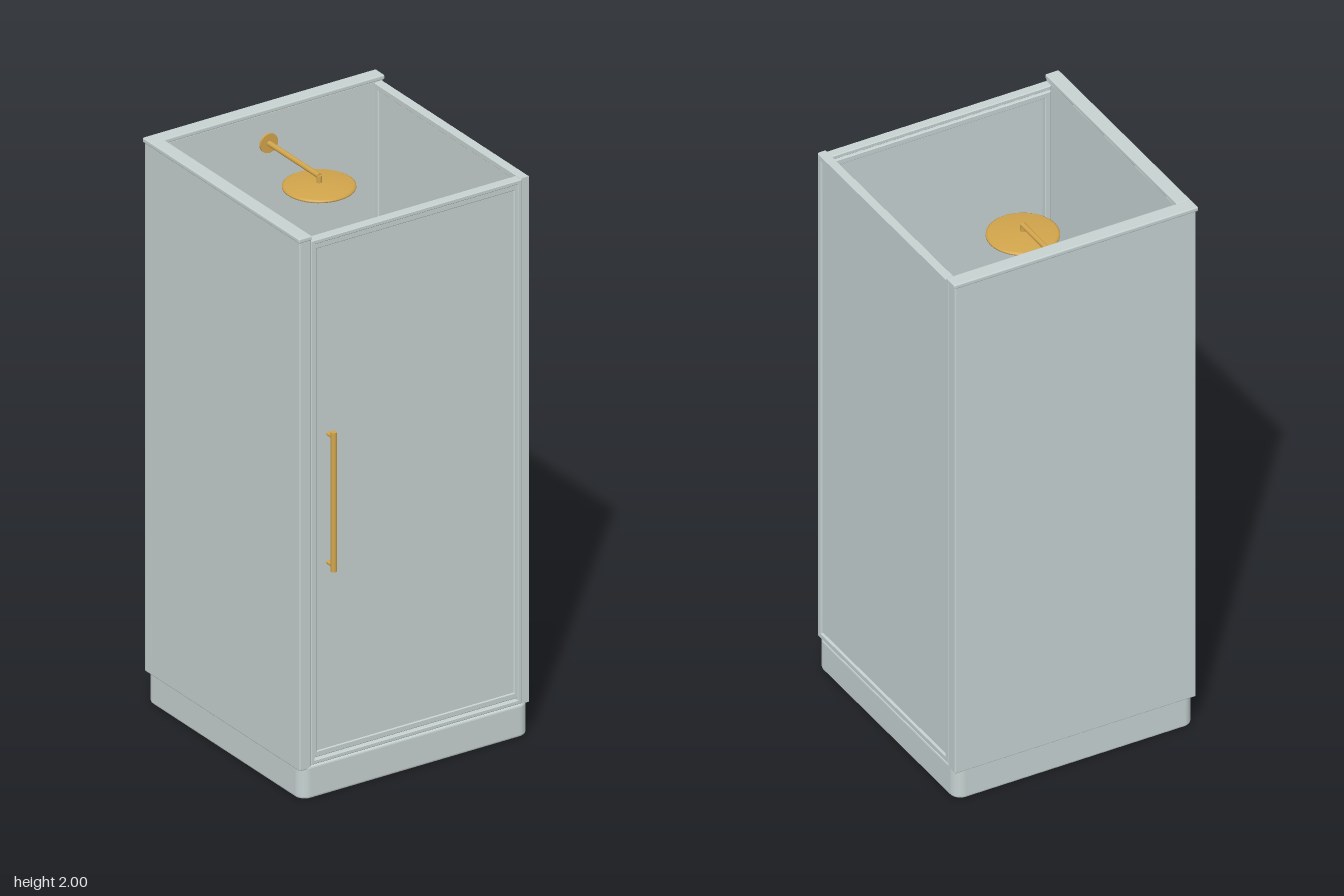
import * as THREE from 'three';
import { RoundedBoxGeometry } from 'three/addons/geometries/RoundedBoxGeometry.js';

export function createModel() {
  const root = new THREE.Group();
  root.name = 'showerCabin';
  const grey = new THREE.MeshStandardMaterial({ name: 'paleGrey', color: 0xc6d2d1 });
  const brass = new THREE.MeshStandardMaterial({ name: 'brass', color: 0xd2a54c });

  const add = (name, geo, mat, x = 0, y = 0, z = 0, parent = root) => {
    const m = new THREE.Mesh(geo, mat);
    m.name = name;
    m.position.set(x, y, z);
    parent.add(m);
    return m;
  };
  // Box given by its two extreme corners
  const box = (name, [x0, y0, z0], [x1, y1, z1], r = 0.005) =>
    add(name, new RoundedBoxGeometry(x1 - x0, y1 - y0, z1 - z0, 2, r), grey,
      (x0 + x1) / 2, (y0 + y1) / 2, (z0 + z1) / 2);
  // Straight rod between two points
  const rod = (name, a, b, r, mat = brass, parent = root) => {
    const p = new THREE.Vector3(...a), d = new THREE.Vector3(...b).sub(p);
    const m = add(name, new THREE.CylinderGeometry(r, r, d.length(), 20), mat, 0, 0, 0, parent);
    m.position.copy(p).addScaledVector(d, 0.5);
    m.quaternion.setFromUnitVectors(new THREE.Vector3(0, 1, 0), d.normalize());
    return m;
  };
  const tube = (name, pts, r, parent = root) => add(name, new THREE.TubeGeometry(
    new THREE.CatmullRomCurve3(pts.map(p => new THREE.Vector3(...p))), 40, r, 12), brass, 0, 0, 0, parent);
  const lathe = (pts) => new THREE.LatheGeometry(pts.map(p => new THREE.Vector2(...p)), 40);
  // Rectangular frame in the xy plane with an open middle
  const frame = (x0, y0, x1, y1, w, depth) => {
    const b = 0.003;
    const rect = (T, a, c, d, e) => {
      const s = new T();
      s.moveTo(a, c); s.lineTo(d, c); s.lineTo(d, e); s.lineTo(a, e); s.closePath();
      return s;
    };
    const s = rect(THREE.Shape, x0 + b, y0 + b, x1 - b, y1 - b);
    s.holes.push(rect(THREE.Path, x0 + w - b, y0 + w - b, x1 - w + b, y1 - w + b));
    return new THREE.ExtrudeGeometry(s, {
      depth: depth - 2 * b, bevelThickness: b, bevelSize: b, bevelSegments: 1,
    }).translate(0, 0, b);
  };

  // Tray with rounded corners
  const tray = new THREE.Shape();
  const hx = 0.432, hz = 0.437, r = 0.03;
  tray.absarc(hx - r, hz - r, r, 0, Math.PI / 2);
  tray.absarc(-hx + r, hz - r, r, Math.PI / 2, Math.PI);
  tray.absarc(-hx + r, -hz + r, r, Math.PI, Math.PI * 1.5);
  tray.absarc(hx - r, -hz + r, r, Math.PI * 1.5, Math.PI * 2);
  const trayGeo = new THREE.ExtrudeGeometry(tray, {
    depth: 0.099, bevelThickness: 0.008, bevelSize: 0.008, bevelSegments: 3, curveSegments: 8,
  }).rotateX(-Math.PI / 2).translate(0, 0.008, 0);
  add('tray', trayGeo, grey, 0, 0, -0.012);

  // Solid walls and their caps
  box('backWall', [-0.445, 0.105, -0.458], [0.443, 1.987, -0.412]);
  box('leftWall', [-0.445, 0.105, -0.42], [-0.4, 1.987, 0.431]);
  box('backWallCap', [-0.45, 1.983, -0.464], [0.449, 2, -0.411]);
  box('leftWallCap', [-0.45, 1.983, -0.413], [-0.399, 2, 0.435]);

  // Fixed side panel on the right
  const side = add('sideFrame', frame(-0.43, 0.115, 0.412, 1.982, 0.022, 0.032), grey, 0.409);
  side.rotation.y = Math.PI / 2;
  box('sidePanel', [0.417, 0.13, -0.4], [0.433, 1.97, 0.42], 0.002);

  // Door in the front
  add('doorSurround', frame(-0.4, 0.115, 0.412, 1.978, 0.016, 0.034), grey, 0, 0, 0.395);
  add('doorFrame', frame(-0.395, 0.135, 0.408, 1.963, 0.022, 0.036), grey, 0, 0, 0.387);
  box('doorPanel', [-0.38, 0.15, 0.405], [0.395, 1.95, 0.419], 0.002);

  // Door handle on both faces
  const handle = new THREE.Group();
  handle.name = 'doorHandle';
  root.add(handle);
  for (const z of [0.372, 0.452]) rod('handleBar', [-0.328, 0.795, z], [-0.328, 1.29, z], 0.01, brass, handle);
  for (const y of [0.815, 1.272]) rod('handlePost', [-0.328, y, 0.372], [-0.328, y, 0.452], 0.007, brass, handle);

  // Overhead shower
  const rain = new THREE.Group();
  rain.name = 'overheadShower';
  root.add(rain);
  add('showerHead', lathe([[0, 0], [0.114, 0], [0.119, 0.003], [0.119, 0.008], [0.112, 0.012],
    [0.05, 0.018], [0, 0.02]]), brass, 0, 1.838, -0.12, rain);
  rod('showerArm', [0, 1.88, -0.412], [0, 1.88, -0.119], 0.009, brass, rain);
  rod('showerNeck', [0, 1.85, -0.12], [0, 1.882, -0.12], 0.009, brass, rain);
  rod('armFlange', [0, 1.88, -0.413], [0, 1.88, -0.405], 0.034, brass, rain);

  // Mixer valve with lever
  const valve = new THREE.Group();
  valve.name = 'mixerValve';
  valve.position.set(-0.08, 1.1, -0.413);
  root.add(valve);
  add('valveBody', lathe([[0, 0], [0.035, 0], [0.035, 0.012], [0.031, 0.03], [0.026, 0.035], [0, 0.035]]),
    brass, 0, 0, 0, valve).rotation.x = Math.PI / 2;
  rod('valveLever', [0, -0.005, 0.042], [0, 0.05, 0.042], 0.007, brass, valve);
  rod('valveStem', [0, 0, 0.03], [0, 0, 0.042], 0.007, brass, valve);

  // Hand shower on a wall holder, with its hose
  const hand = new THREE.Group();
  hand.name = 'handShower';
  root.add(hand);
  rod('handHolder', [0.178, 1.2, -0.413], [0.178, 1.2, -0.338], 0.011, brass, hand);
  rod('handGrip', [0.178, 1.08, -0.337], [0.178, 1.27, -0.337], 0.013, brass, hand);
  add('handHead', lathe([[0, -0.03], [0.022, -0.027], [0.038, -0.01], [0.038, 0.006], [0.03, 0.014], [0, 0.018]]),
    brass, 0.178, 1.28, -0.337, hand);
  tube('hose', [[0.178, 1.09, -0.337], [0.176, 0.9, -0.337], [0.155, 0.75, -0.345],
    [0.125, 0.78, -0.372], [0.108, 0.92, -0.395], [0.1, 1.0, -0.413]], 0.006, hand);

  // Corner shelf
  const shelf = new THREE.Shape();
  [[-0.401, 0.413], [-0.401, 0.217], [-0.392, 0.217], [-0.203, 0.402], [-0.203, 0.413]]
    .forEach(([x, y], i) => (i ? shelf.lineTo(x, y) : shelf.moveTo(x, y)));
  add('cornerShelf', new THREE.ExtrudeGeometry(shelf, {
    depth: 0.016, bevelThickness: 0.004, bevelSize: 0.003, bevelSegments: 2,
  }).rotateX(-Math.PI / 2), grey, 0, 1.05, 0);

  // Bottles on the shelf
  const bottle = (name, mat, x, z, rad, h) => add(name, lathe([[0, 0], [rad, 0], [rad, h * 0.72],
    [rad * 0.85, h * 0.8], [rad * 0.6, h * 0.82], [rad * 0.6, h * 0.97], [rad * 0.5, h], [0, h]]), mat, x, 1.07, z);
  bottle('tallBottle', grey, -0.358, -0.362, 0.031, 0.17);
  bottle('shortBottle', brass, -0.298, -0.382, 0.027, 0.14);

  return root;
}
